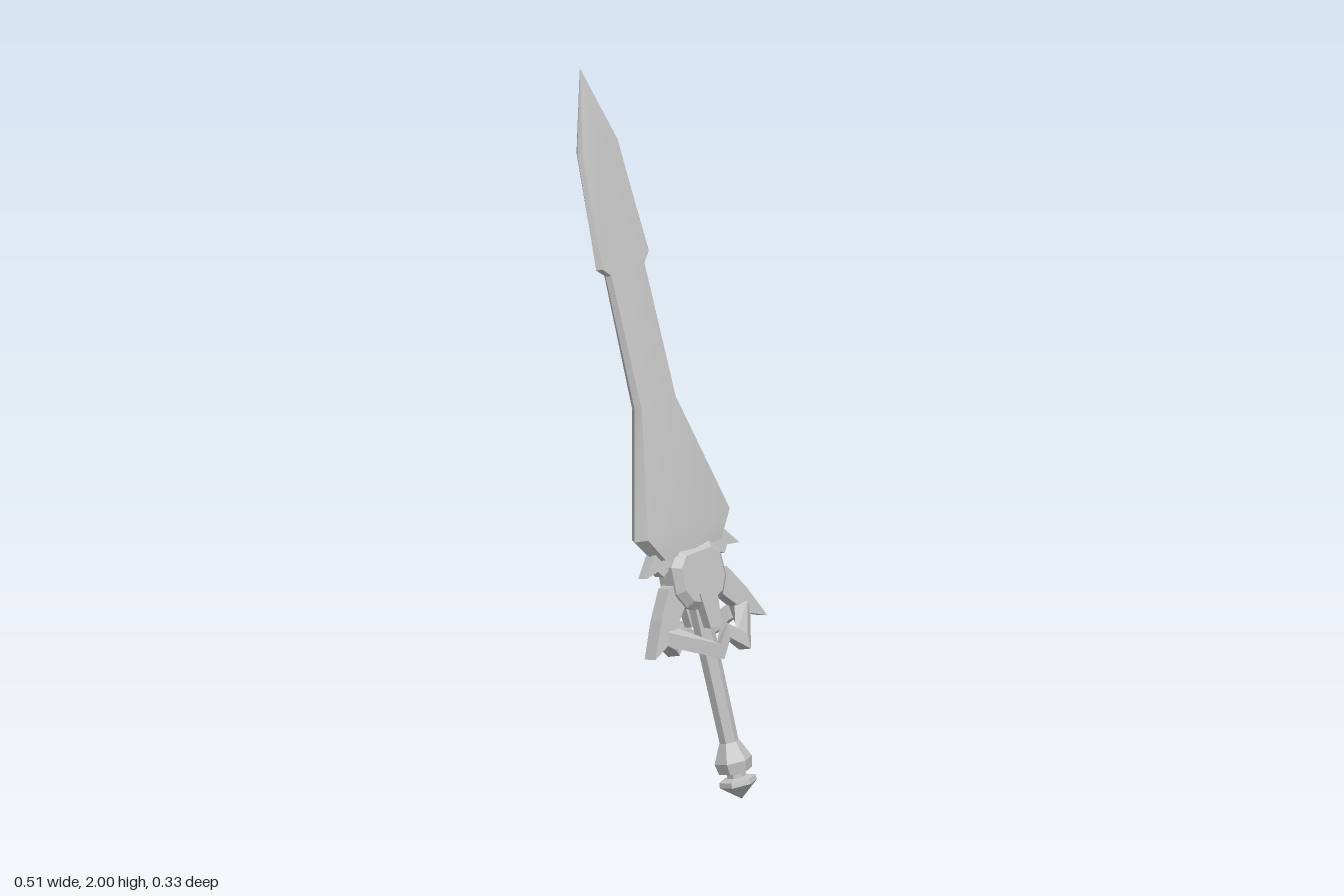
import * as THREE from 'three';
import { toCreasedNormals } from 'three/addons/utils/BufferGeometryUtils.js';

const metal = new THREE.MeshStandardMaterial({ color: 0xc2c2c2 });
metal.name = 'greyMetal';

function part(name, geometry, crease = 0) {
  const g = crease ? toCreasedNormals(geometry, crease) : geometry.index ? geometry.toNonIndexed() : geometry;
  if (!crease) g.computeVertexNormals();
  const mesh = new THREE.Mesh(g, metal);
  mesh.name = name;
  return mesh;
}

// Joins rings of [x, y, z] points and caps both ends
function loft(rings) {
  const n = rings[0].length;
  const index = [];
  for (let r = 0; r < rings.length - 1; r++) {
    for (let i = 0; i < n; i++) {
      const a = r * n + i, b = r * n + (i + 1) % n;
      index.push(a, a + n, b, b, a + n, b + n);
    }
  }
  const top = (rings.length - 1) * n;
  for (let i = 1; i < n - 1; i++) index.push(0, i, i + 1, top, top + i + 1, top + i);
  const g = new THREE.BufferGeometry();
  g.setAttribute('position', new THREE.Float32BufferAttribute(rings.flat(2), 3));
  g.setIndex(index);
  return g;
}

// Flat outline in x and y, centred in depth
function plate(points, depth, bevel = 0) {
  const shape = new THREE.Shape(points.map(([x, y]) => new THREE.Vector2(x, y)));
  const g = new THREE.ExtrudeGeometry(shape, {
    depth: depth - 2 * bevel, bevelEnabled: bevel > 0, bevelThickness: bevel,
    bevelSize: bevel, bevelOffset: -bevel, bevelSegments: 1,
  });
  return g.translate(0, 0, -(depth - 2 * bevel) / 2);
}

const mirrorX = (points) => points.map(([x, y]) => [-x, y]).reverse();

export function createModel() {
  const sword = new THREE.Group();
  sword.name = 'sword';

  // Blade: flared base, slim waist, stepped spear tip; [height, half width, edge thickness]
  const sections = [
    [0.70, 0.115, 0.03], [0.77, 0.168, 0.034], [1.11, 0.07, 0.02], [1.485, 0.068, 0.015],
    [1.51, 0.095, 0.013], [1.83, 0.072, 0.013], [2.045, 0.001, 0.001],
  ];
  sword.add(part('blade', loft(sections.map(([y, w, t]) => [
    [w, y, 0], [w * 0.88, y, t], [0, y, t * 1.35], [-w * 0.88, y, t],
    [-w, y, 0], [-w * 0.88, y, -t], [0, y, -t * 1.35], [w * 0.88, y, -t],
  ])), 0.5));

  // Hub between blade and grip
  const hubSide = [[0.03, 0.54], [0.065, 0.555], [0.09, 0.60], [0.088, 0.675], [0.055, 0.715]];
  sword.add(part('hub', plate([...hubSide, ...mirrorX(hubSide)], 0.1, 0.02)));

  // Swept wings and small fins on both sides
  const wing = [[0.05, 0.575], [0.115, 0.505], [0.125, 0.455], [0.15, 0.475], [0.203, 0.452],
    [0.155, 0.545], [0.105, 0.62], [0.07, 0.63]];
  const fin = [[0.07, 0.68], [0.11, 0.655], [0.125, 0.675], [0.168, 0.668], [0.125, 0.72], [0.07, 0.735]];
  sword.add(part('leftWing', plate(wing, 0.046)), part('rightWing', plate(mirrorX(wing), 0.046)));
  sword.add(part('leftFin', plate(fin, 0.036)), part('rightFin', plate(mirrorX(fin), 0.036)));

  // Zigzag guard bars, front and back
  const path = [[-0.145, 0.49, 0.025], [-0.048, 0.43, 0.118], [0, 0.475, 0.104],
    [0.048, 0.43, 0.118], [0.145, 0.49, 0.025]];
  const bar = loft(path.map(([x, y, z]) => {
    const h = 0.021, k = 0.72;
    return [[x, y + h, z], [x * k, y + h, z * k], [x * k, y - h, z * k], [x, y - h, z]];
  }));
  const frontGuard = part('frontGuard', bar);
  const backGuard = part('backGuard', bar);
  backGuard.rotation.y = Math.PI;
  sword.add(frontGuard, backGuard);

  // Tapered prongs hanging from the hub, front and back
  for (const side of [1, -1]) {
    const prong = part(side > 0 ? 'frontProng' : 'backProng', plate(
      [[-0.02, 0.485], [0.02, 0.485], [0.03, 0.585], [0, 0.61], [-0.03, 0.585]], 0.03));
    prong.position.z = side * 0.04;
    sword.add(prong);
  }

  // Six-sided grip
  const grip = part('grip', new THREE.CylinderGeometry(0.029, 0.026, 0.44, 6));
  grip.position.y = 0.36;
  sword.add(grip);

  // Pommel: flared block, thin neck and pointed cap
  const profile = [[0, 0], [0.052, 0.042], [0.05, 0.056], [0.026, 0.062], [0.026, 0.074],
    [0.046, 0.078], [0.052, 0.108], [0.028, 0.16], [0, 0.165]];
  sword.add(part('pommel', new THREE.LatheGeometry(
    profile.map(([x, y]) => new THREE.Vector2(x, y)), 6)));

  // Lean and twist of the whole sword
  const axis = new THREE.Vector3(-0.38, 1.99, -0.231).normalize();
  const face = new THREE.Vector3(0.902, 0.127, -0.411).cross(axis).normalize();
  const width = axis.clone().cross(face);
  sword.quaternion.setFromRotationMatrix(new THREE.Matrix4().makeBasis(width, axis, face));
  sword.position.set(0.15, 0.002, 0.08);

  const model = new THREE.Group();
  model.name = 'model';
  model.add(sword);
  return model;
}
